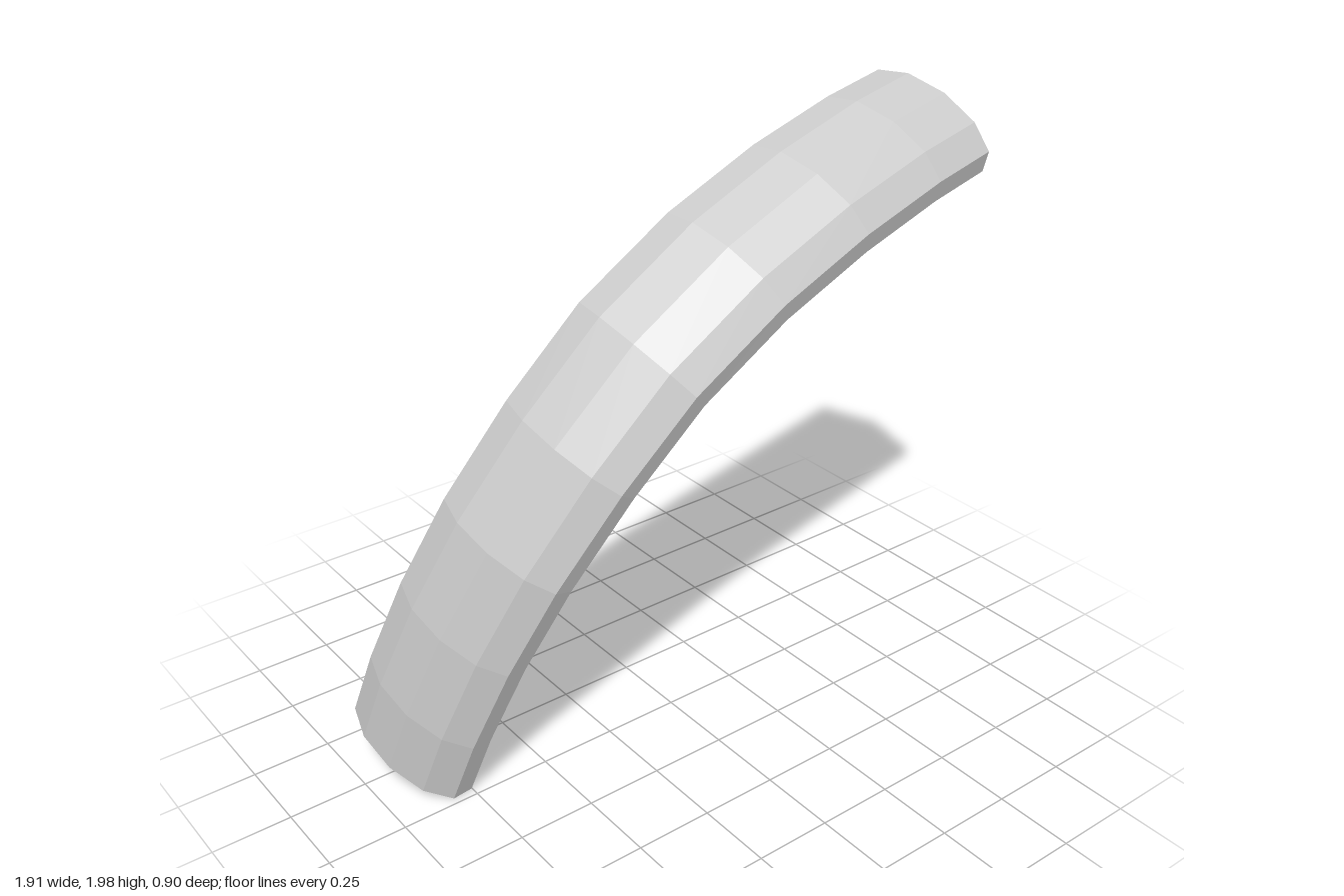
import * as THREE from 'three';

const SIDES = 11;
const HALF_WIDTH = 0.24, HALF_THICK = 0.124; // oval section
const TIP_RADIUS = 0.025, TIP_HEIGHT = 0.08; // blunt cone on each end

// Centre line of the bend, from the upper end to the lower end
const PATH = [
  [0.87, 1.855, 0.13], [0.625, 1.825, 0.175], [0.315, 1.75, 0.213], [0.01, 1.625, 0.225],
  [-0.27, 1.435, 0.208], [-0.475, 1.19, 0.155], [-0.64, 0.91, 0.075], [-0.74, 0.625, -0.03],
  [-0.805, 0.335, -0.14], [-0.83, 0.1, -0.235],
].map(p => new THREE.Vector3(...p));

// Normal of the plane the path bends in; the wide axis of the section follows it
const WIDE = new THREE.Vector3(0.215, -0.37, 0.905).normalize();

// One oval loop of points, turning counter-clockwise about the tangent
function ring(center, tangent, a, b) {
  const thin = tangent.clone().cross(WIDE).normalize();
  return Array.from({ length: SIDES }, (_, j) => {
    const t = (j / SIDES) * Math.PI * 2 - 0.24;
    return center.clone().addScaledVector(WIDE, a * Math.cos(t)).addScaledVector(thin, b * Math.sin(t));
  });
}

function bentBarGeometry() {
  const last = PATH.length - 1;
  const tangents = PATH.map((_, i) => {
    const t = PATH[Math.min(i + 1, last)].clone().sub(PATH[Math.max(i - 1, 0)]);
    return t.addScaledVector(WIDE, -t.dot(WIDE)).normalize();
  });
  const tip = (i, dir) => ring(PATH[i].clone().addScaledVector(tangents[i], dir * TIP_HEIGHT),
    tangents[i], TIP_RADIUS, TIP_RADIUS);

  const rings = [
    tip(0, -1),
    ...PATH.map((p, i) => ring(p, tangents[i], HALF_WIDTH, HALF_THICK)),
    tip(last, 1),
  ];

  const pos = [];
  const tri = (...points) => points.forEach(p => pos.push(p.x, p.y, p.z));

  // Skin, including the sloped ends
  for (let i = 0; i < rings.length - 1; i++) {
    for (let j = 0; j < SIDES; j++) {
      const k = (j + 1) % SIDES;
      const [p, q] = [rings[i], rings[i + 1]];
      tri(p[j], p[k], q[j]);
      tri(p[k], q[k], q[j]);
    }
  }
  // Small flat tips
  const first = rings[0], end = rings[rings.length - 1];
  for (let j = 1; j < SIDES - 1; j++) {
    tri(first[0], first[j + 1], first[j]);
    tri(end[0], end[j], end[j + 1]);
  }

  const geometry = new THREE.BufferGeometry();
  geometry.setAttribute('position', new THREE.Float32BufferAttribute(pos, 3));
  geometry.computeVertexNormals();
  return geometry;
}

export function createModel() {
  const group = new THREE.Group();
  group.name = 'curvedBar';
  const material = new THREE.MeshStandardMaterial({ color: 0xcccccc, flatShading: true });
  const bar = new THREE.Mesh(bentBarGeometry(), material);
  bar.name = 'bentOvalBar';
  group.add(bar);
  return group;
}
